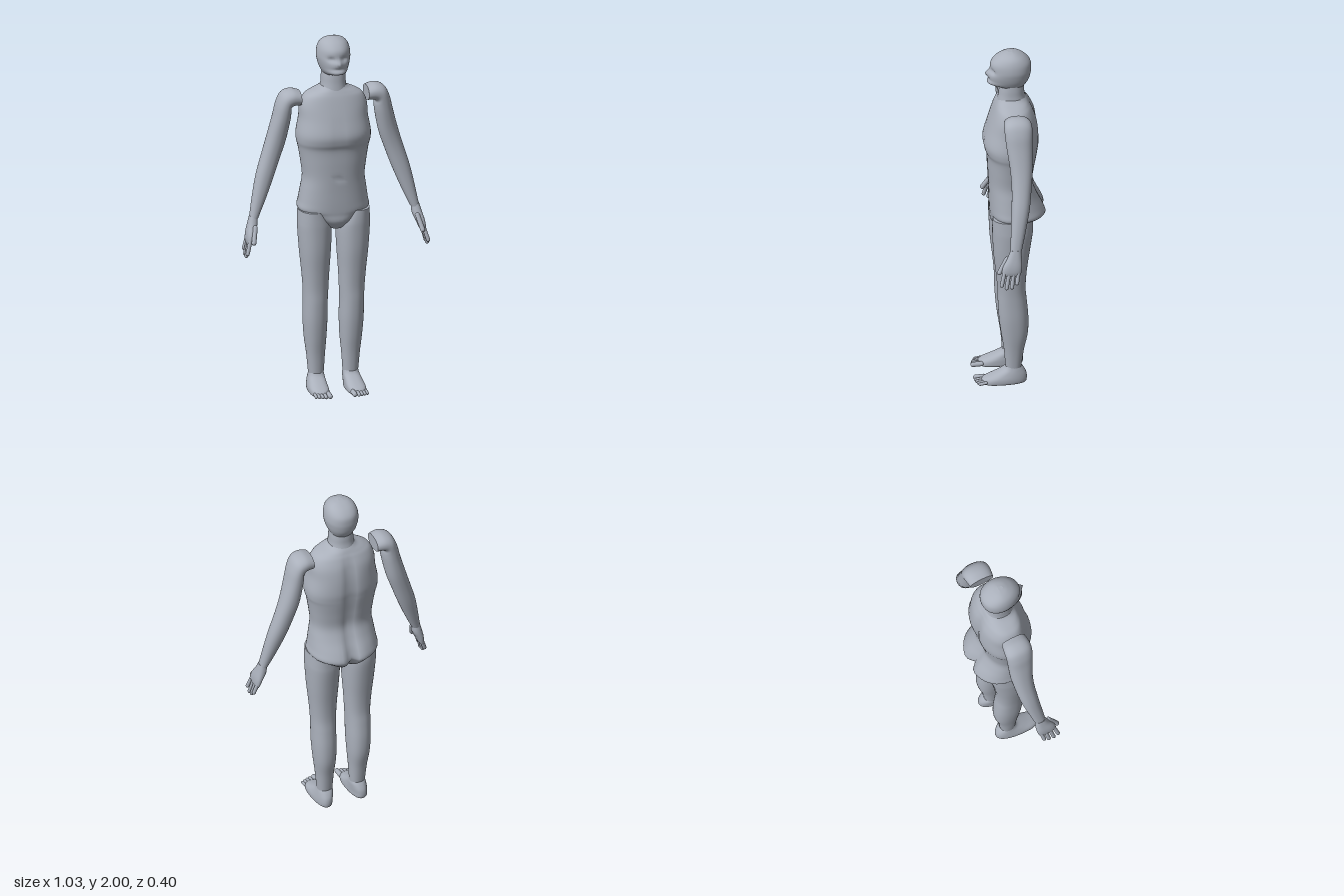
import * as THREE from 'three';

const skin = new THREE.MeshStandardMaterial({ color: 0xaab0bb });
skin.name = 'blueGrey';

const SEGMENTS = 48, STEPS = 5;
const power = (v, p) => Math.sign(v) * Math.pow(Math.abs(v), p);
const bump = (v, width) => Math.exp(-((v / width) ** 2));

// Smooth interpolation through the section rows
function sample(rows, t) {
  const i = Math.min(Math.floor(t), rows.length - 2), f = t - i;
  const at = k => rows[Math.max(0, Math.min(rows.length - 1, k))];
  return rows[i].map((p1, c) => {
    const p0 = at(i - 1)[c], p2 = at(i + 1)[c], p3 = at(i + 2)[c];
    return 0.5 * (2 * p1 + (p2 - p0) * f + (2 * p0 - 5 * p1 + 4 * p2 - p3) * f * f
      + (3 * p1 - p0 - 3 * p2 + p3) * f * f * f);
  });
}

// Closed loft; row = [outerX, outerY, innerX, innerY, widestZ, frontZ, backZ], top row first
function loft(name, rows, { front = 0.9, back = 0.9, side = 0.9, sculpt } = {}) {
  const pos = [], idx = [], n = (rows.length - 1) * STEPS;
  for (let i = 0; i <= n; i++) {
    const [xo, yo, xi, yi, cz, f, b] = sample(rows, i / STEPS);
    for (let j = 0; j < SEGMENTS; j++) {
      const a = (j / SEGMENTS) * Math.PI * 2, s = Math.sin(a), c = power(Math.cos(a), side);
      const z = s > 0 ? cz + (f - cz) * power(s, front) : cz + (cz - b) * power(s, back);
      const p = new THREE.Vector3((xo + xi) / 2 + c * (xo - xi) / 2, (yo + yi) / 2 + c * (yo - yi) / 2, z);
      if (sculpt) sculpt(p, s);
      pos.push(p.x, p.y, p.z);
    }
  }
  for (let i = 0; i < n; i++) {
    for (let j = 0; j < SEGMENTS; j++) {
      const k = (j + 1) % SEGMENTS, r = i * SEGMENTS, q = r + SEGMENTS;
      idx.push(r + j, r + k, q + j, r + k, q + k, q + j);
    }
  }
  // End caps with their own vertices, so the rim stays crisp
  for (const [ring, isTop] of [[0, true], [n, false]]) {
    const start = pos.length / 3, centre = [0, 0, 0];
    for (let j = 0; j < SEGMENTS; j++) {
      for (let c = 0; c < 3; c++) {
        const v = pos[(ring * SEGMENTS + j) * 3 + c];
        pos.push(v);
        centre[c] += v / SEGMENTS;
      }
    }
    pos.push(...centre);
    for (let j = 0; j < SEGMENTS; j++) {
      const a = start + j, b = start + (j + 1) % SEGMENTS;
      idx.push(start + SEGMENTS, isTop ? b : a, isTop ? a : b);
    }
  }
  const geo = new THREE.BufferGeometry();
  geo.setAttribute('position', new THREE.Float32BufferAttribute(pos, 3));
  geo.setIndex(idx);
  geo.computeVertexNormals();
  const mesh = new THREE.Mesh(geo, skin);
  mesh.name = name;
  return mesh;
}

// Row helpers: centred section, and level section of a limb
const centred = cz => ([y, w, f, b]) => [w, y, -w, y, cz, f, b];
const level = ([y, xo, xi, cz, f, b]) => [xo, y, xi, y, cz, f, b];

// Rounded finger or toe between two points
function digit(name, from, to, radius) {
  const a = new THREE.Vector3(...from), b = new THREE.Vector3(...to);
  const dir = b.clone().sub(a), len = dir.length();
  const mesh = new THREE.Mesh(new THREE.CapsuleGeometry(radius, Math.max(0.01, len - radius * 2), 5, 12), skin);
  mesh.position.copy(a).add(b).multiplyScalar(0.5);
  mesh.quaternion.setFromUnitVectors(new THREE.Vector3(0, 1, 0), dir.normalize());
  mesh.name = name;
  return mesh;
}

function makeHead() {
  return loft('head', [
    [2.0, 0.012, 0.004, -0.024], [1.992, 0.045, 0.03, -0.055], [1.972, 0.072, 0.066, -0.092],
    [1.94, 0.087, 0.094, -0.12], [1.9, 0.092, 0.1, -0.125], [1.87, 0.088, 0.108, -0.122],
    [1.84, 0.08, 0.109, -0.114], [1.815, 0.069, 0.112, -0.1], [1.795, 0.058, 0.05, -0.085],
  ].map(centred(-0.02)), {
    front: 1.1, back: 0.95,
    sculpt(p, s) {
      if (s <= 0) return;
      p.z += 0.018 * bump(p.x, 0.013) * bump(p.y - 1.873, 0.02);                    // nose
      p.z -= 0.014 * bump(Math.abs(p.x) - 0.035, 0.018) * bump(p.y - 1.895, 0.014); // eye sockets
      p.z -= 0.006 * bump(p.x, 0.03) * bump(p.y - 1.842, 0.007);                    // mouth
    },
  });
}

function makeTorso() {
  return loft('torso', [
    [1.735, 0.062, 0.045, -0.085], [1.715, 0.085, 0.055, -0.1], [1.695, 0.13, 0.065, -0.112],
    [1.67, 0.165, 0.076, -0.127], [1.62, 0.185, 0.093, -0.148], [1.55, 0.19, 0.115, -0.16],
    [1.47, 0.204, 0.137, -0.163], [1.42, 0.203, 0.132, -0.158], [1.38, 0.193, 0.118, -0.152],
    [1.3, 0.18, 0.114, -0.138], [1.22, 0.171, 0.11, -0.13], [1.15, 0.18, 0.107, -0.152],
    [1.08, 0.19, 0.105, -0.187], [1.035, 0.195, 0.103, -0.203], [1.01, 0.16, 0.101, -0.195],
    [0.97, 0.1, 0.098, -0.16], [0.93, 0.045, 0.07, -0.1],
  ].map(centred(-0.02)), {
    front: 0.85, back: 0.85, side: 0.85,
    sculpt(p, s) {
      if (s < 0) {
        const seat = bump(p.y - 1.03, 0.09);
        const fade = THREE.MathUtils.smoothstep(1.72 - p.y, 0, 0.12);
        p.z += fade * (0.018 + 0.022 * seat) * bump(p.x, 0.026);       // spine and seat groove
      } else {
        p.z -= 0.008 * bump(p.x, 0.014) * bump(p.y - 1.22, 0.014);     // navel
        p.z -= 0.004 * bump(p.x, 0.02) * bump(p.y - 1.48, 0.08);       // chest groove
      }
    },
  });
}

function makeArm() {
  const arm = new THREE.Group();
  arm.name = 'arm';
  const section = ([xo, yo, xi, yi, f, b]) => [xo, yo, xi, yi, (f + b) / 2, f, b];
  arm.add(loft('upperAndLowerArm', [
    [0.188, 1.702, 0.188, 1.622, 0.04, -0.097], [0.235, 1.713, 0.225, 1.62, 0.045, -0.105],
    [0.285, 1.695, 0.238, 1.608, 0.045, -0.107], [0.315, 1.64, 0.236, 1.585, 0.042, -0.106],
    [0.335, 1.56, 0.24, 1.54, 0.035, -0.105], [0.365, 1.45, 0.262, 1.43, 0.02, -0.103],
    [0.395, 1.35, 0.295, 1.33, 0.014, -0.094], [0.43, 1.235, 0.335, 1.22, 0.018, -0.08],
    [0.455, 1.12, 0.38, 1.11, 0.025, -0.056], [0.475, 1.01, 0.428, 1.005, 0.032, -0.03],
  ].map(section)));
  arm.add(loft('palm', [
    [0.475, 1.02, 0.432, 1.01, 0.03, -0.026], [0.486, 0.98, 0.436, 0.965, 0.048, -0.03],
    [0.498, 0.935, 0.456, 0.92, 0.074, -0.03], [0.502, 0.9, 0.468, 0.89, 0.08, -0.025],
    [0.499, 0.878, 0.478, 0.872, 0.072, -0.018],
  ].map(section), { front: 0.8, back: 0.8 }));
  [[0.065, 0.086, 0.818], [0.04, 0.059, 0.8], [0.015, 0.03, 0.804], [-0.01, 0.002, 0.828]]
    .forEach(([z0, z1, y]) => arm.add(digit('finger', [0.484, 0.905, z0], [0.509, y, z1], 0.011)));
  arm.add(digit('thumb', [0.452, 0.975, 0.045], [0.476, 0.88, 0.1], 0.013));
  return arm;
}

function makeLeg() {
  const leg = new THREE.Group();
  leg.name = 'leg';
  leg.add(loft('thighAndShin', [
    [1.03, 0.195, 0.05, -0.01, 0.095, -0.125], [0.97, 0.198, 0.025, -0.01, 0.097, -0.125],
    [0.92, 0.198, 0.016, -0.01, 0.096, -0.122], [0.8, 0.19, 0.02, -0.01, 0.09, -0.105],
    [0.68, 0.178, 0.028, -0.01, 0.077, -0.09], [0.58, 0.17, 0.033, -0.01, 0.068, -0.085],
    [0.5, 0.168, 0.036, -0.015, 0.066, -0.092], [0.4, 0.167, 0.036, -0.02, 0.06, -0.1],
    [0.3, 0.16, 0.04, -0.025, 0.048, -0.097], [0.2, 0.148, 0.048, -0.02, 0.033, -0.077],
    [0.09, 0.138, 0.055, -0.02, 0.024, -0.062],
  ].map(level)));
  leg.add(loft('foot', [
    [0.1, 0.137, 0.056, -0.02, 0.023, -0.06], [0.08, 0.142, 0.053, -0.015, 0.04, -0.075],
    [0.055, 0.149, 0.052, 0.01, 0.09, -0.088], [0.03, 0.156, 0.05, 0.05, 0.146, -0.092],
    [0.009, 0.156, 0.05, 0.06, 0.158, -0.09], [0, 0.15, 0.055, 0.06, 0.15, -0.084],
  ].map(level), { front: 0.75, back: 0.95, side: 0.85 }));
  [[0.069, 0.198, 0.0135], [0.092, 0.195, 0.01], [0.11, 0.19, 0.0095], [0.127, 0.183, 0.009], [0.143, 0.175, 0.0085]]
    .forEach(([x, z, r]) => leg.add(digit('toe', [x, 0.018, 0.125], [x, r, z], r)));
  return leg;
}

export function createModel() {
  const model = new THREE.Group();
  model.name = 'figure';
  model.add(makeHead(), makeTorso());
  model.add(loft('neck', [
    [1.83, 0.062, 0.04, -0.08], [1.78, 0.066, 0.048, -0.086], [1.74, 0.068, 0.053, -0.09], [1.69, 0.076, 0.062, -0.105],
  ].map(centred(-0.02))));
  // Limbs on both sides, the right ones mirrored
  for (const [side, sign] of [['left', 1], ['right', -1]]) {
    const limbs = new THREE.Group();
    limbs.name = side + 'Limbs';
    limbs.add(makeArm(), makeLeg());
    limbs.scale.x = sign;
    model.add(limbs);
  }
  return model;
}
